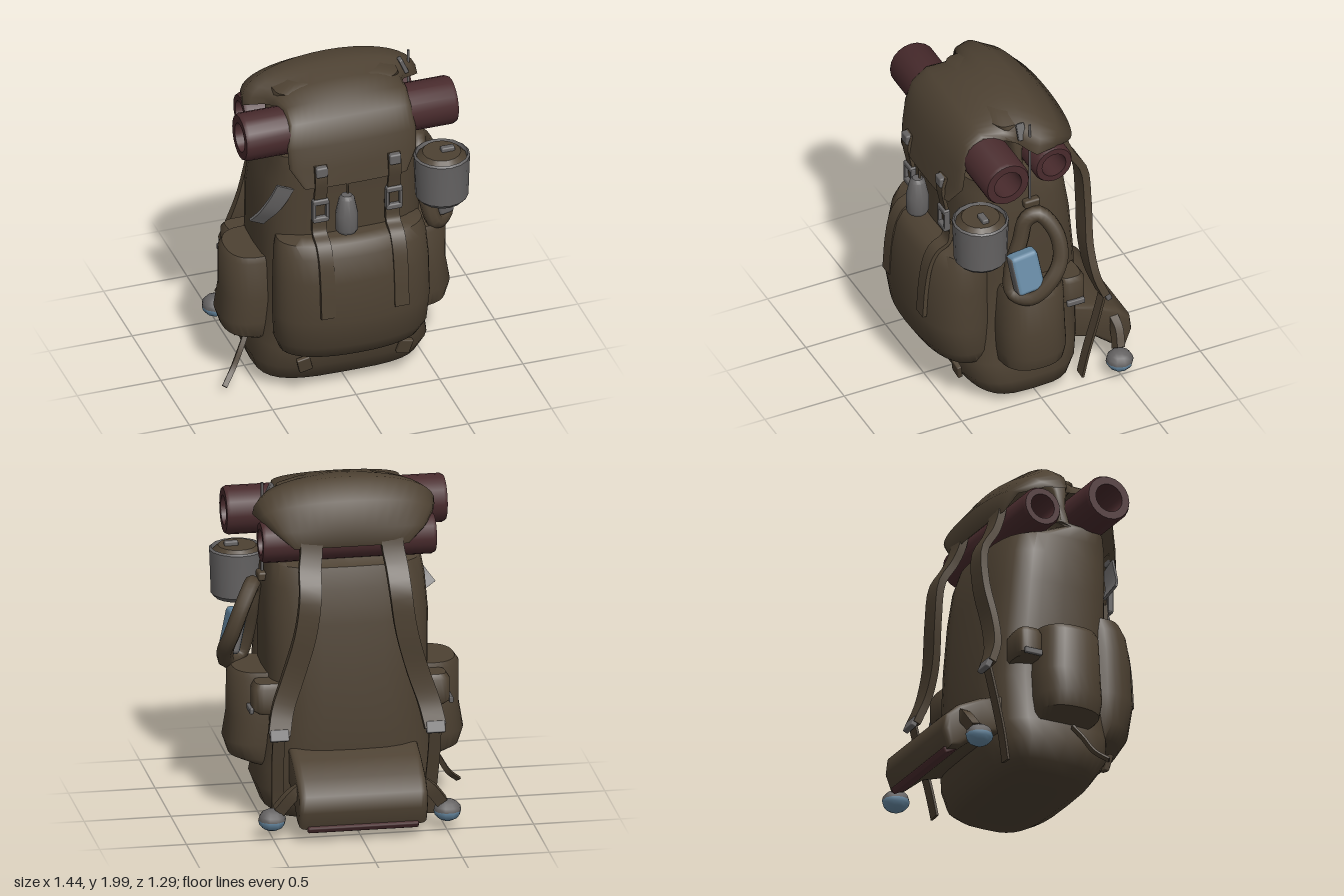
import * as THREE from 'three';
import { toCreasedNormals } from 'three/addons/utils/BufferGeometryUtils.js';
import { RoundedBoxGeometry } from 'three/addons/geometries/RoundedBoxGeometry.js';

const V = (x, y, z) => new THREE.Vector3(x, y, z);

function material(name, color, side = THREE.FrontSide) {
  const m = new THREE.MeshStandardMaterial({ color, side });
  m.name = name;
  return m;
}

// Skin a list of rings; closed rings get end caps
function loft(rings, closed = true, crease = 0.8) {
  const n = rings[0].length, pos = rings.flat().flatMap(p => [p.x, p.y, p.z]), idx = [];
  for (let i = 0; i < rings.length - 1; i++) {
    for (let j = 0; j < (closed ? n : n - 1); j++) {
      const a = i * n + j, b = i * n + (j + 1) % n;
      idx.push(a, b, a + n, b, b + n, a + n);
    }
  }
  if (closed) {
    [0, rings.length - 1].forEach((r, end) => {
      const c = rings[r].reduce((s, p) => s.add(p), V(0, 0, 0)).divideScalar(n);
      const k = pos.push(c.x, c.y, c.z) / 3 - 1;
      for (let j = 0; j < n; j++) {
        const a = r * n + j, b = r * n + (j + 1) % n;
        if (end) idx.push(a, b, k); else idx.push(b, a, k);
      }
    });
  }
  const g = new THREE.BufferGeometry();
  g.setAttribute('position', new THREE.Float32BufferAttribute(pos, 3));
  g.setIndex(idx);
  return toCreasedNormals(g, crease);
}

// Stuffed bag from rows of [y, x0, x1, z0, z1] with rounded-square sections
function bag(rows, power = 0.6, n = 32) {
  const soft = t => Math.sign(t) * Math.abs(t) ** power;
  return loft(rows.map(([y, x0, x1, z0, z1]) => Array.from({ length: n }, (_, j) => {
    const a = j / n * Math.PI * 2;
    return V((x0 + x1) / 2 + (x1 - x0) / 2 * soft(Math.cos(a)), y,
      (z0 + z1) / 2 - (z1 - z0) / 2 * soft(Math.sin(a)));
  })));
}

// Flat webbing swept along a path
function strap(points, width, thick, steps = 24) {
  const curve = new THREE.CatmullRomCurve3(points.map(p => V(...p)));
  const rings = [];
  for (let i = 0; i <= steps; i++) {
    const p = curve.getPoint(i / steps), t = curve.getTangent(i / steps);
    const s = V(1, 0, 0).addScaledVector(t, -t.x).normalize();
    const n = t.clone().cross(s);
    rings.push([[1, 1], [-1, 1], [-1, -1], [1, -1]].map(([a, b]) =>
      p.clone().addScaledVector(s, a * width / 2).addScaledVector(n, b * thick / 2)));
  }
  return loft(rings);
}

function rollGeometry(outer, inner, length) {
  const h = length / 2;
  const pts = [[inner, -h], [outer - 0.01, -h], [outer, -h + 0.02], [outer, h - 0.02], [outer - 0.01, h], [inner, h], [inner, -h]];
  const g = new THREE.LatheGeometry(pts.map(p => new THREE.Vector2(...p)), 20);
  return toCreasedNormals(g, 0.7).rotateZ(-Math.PI / 2);
}

export function createModel() {
  const canvas = material('olive canvas', 0x4d4132);
  const lidCanvas = material('olive lid canvas', 0x4d4132, THREE.DoubleSide);
  const red = material('maroon blanket', 0x492b2d);
  const grey = material('grey metal', 0x656363);
  const blue = material('blue metal', 0x688ba5);
  const model = new THREE.Group();
  const add = (name, geo, mat, x = 0, y = 0, z = 0, rx = 0, ry = 0, rz = 0) => {
    const m = new THREE.Mesh(geo, mat);
    m.name = name;
    m.position.set(x, y, z);
    m.rotation.set(rx, ry, rz);
    model.add(m);
    return m;
  };
  const box = (w, h, d) => new RoundedBoxGeometry(w, h, d, 1, Math.min(w, h, d) * 0.25);

  // Main sack, with a narrow neck between the two blanket rolls that widens under the lid
  add('mainSack', bag([
    [0.01, 0.28, 0.16, -0.14], [0.03, 0.42, 0.27, -0.22], [0.08, 0.48, 0.35, -0.28], [0.2, 0.525, 0.43, -0.31],
    [0.32, 0.5, 0.445, -0.33], [0.6, 0.47, 0.44, -0.335], [0.9, 0.47, 0.44, -0.32], [1.2, 0.475, 0.44, -0.29],
    [1.4, 0.46, 0.445, -0.26], [1.52, 0.44, 0.45, -0.22], [1.6, 0.43, 0.42, 0.025], [1.625, 0.42, 0.175, 0.04],
    [1.72, 0.41, 0.138, 0.05], [1.82, 0.4, 0.165, 0.02], [1.91, 0.37, 0.24, -0.02], [1.945, 0.28, 0.2, -0.02],
  ].map(([y, w, f, b]) => [y, -w, w, b, f])), canvas);

  // Front pocket
  add('frontPocket', bag([
    [0.29, 0.3, 0.47], [0.33, 0.41, 0.56], [0.42, 0.45, 0.615], [0.6, 0.462, 0.645], [0.85, 0.458, 0.63],
    [1.0, 0.448, 0.6], [1.07, 0.43, 0.56], [1.09, 0.37, 0.5],
  ].map(([y, w, f]) => [y, -w, w, 0.17, f]), 0.88, 40), canvas);

  // Lid: rows of [z, y, halfWidth, droop], edges drooping towards the inside
  const lidRows = [
    [-0.25, 1.65, 0.33, 0.03], [-0.285, 1.77, 0.43, 0.22], [-0.18, 1.9, 0.5, 0.42], [-0.04, 2.0, 0.525, 0.55],
    [0.06, 1.99, 0.49, 0.48], [0.11, 1.98, 0.42, 0.45], [0.2, 1.955, 0.39, 0.36], [0.33, 1.915, 0.37, 0.13],
    [0.415, 1.835, 0.365, 0.07], [0.468, 1.69, 0.385, 0.12], [0.495, 1.555, 0.38, 0.15], [0.51, 1.44, 0.31, 0.05],
  ];
  add('lid', loft(lidRows.map(([z, y, w, d]) => Array.from({ length: 21 }, (_, j) => {
    const a = (j / 10 - 1) * Math.PI / 2, k = d * (1 - Math.cos(a) ** 0.8);
    return V(-w * Math.sin(a), y + (1.6 - y) * k, z + (0.1 - z) * k);
  })).reverse(), false, 1.2), lidCanvas);
  add('lidBuckle', box(0.025, 0.1, 0.05), grey, 0.42, 1.89, 0.09, 0, 0, 0.4);

  // Hollow blanket rolls
  add('upperRoll', rollGeometry(0.14, 0.085, 1.27), red, 0.012, 1.73, 0.28);
  add('lowerRoll', rollGeometry(0.12, 0.075, 1.0), red, 0, 1.65, -0.08);

  // Parts mirrored on both sides
  for (const s of [-1, 1]) {
    const mx = rows => rows.map(([y, a, b, z0, z1]) => s > 0 ? [y, a, b, z0, z1] : [y, -b, -a, z0, z1]);
    add('sidePocket', bag(mx([
      [0.32, 0.34, 0.56, -0.1, 0.22], [0.36, 0.3, 0.66, -0.12, 0.26], [0.45, 0.28, 0.69, -0.13, 0.27],
      [0.6, 0.28, 0.665, -0.13, 0.27], [0.84, 0.28, 0.665, -0.12, 0.255], [0.875, 0.32, 0.64, -0.11, 0.24],
    ]), 0.82), canvas);
    add('smallPouch', bag(mx([
      [0.67, 0.38, 0.54, -0.25, -0.11], [0.69, 0.36, 0.57, -0.26, -0.1], [0.82, 0.36, 0.57, -0.26, -0.1],
      [0.85, 0.38, 0.55, -0.24, -0.11],
    ]), 0.6, 24), canvas);
    add('pouchBuckle', box(0.025, 0.035, 0.11), grey, s * 0.575, 0.69, -0.18);

    // Shoulder strap and the webbing below it
    add('shoulderStrap', strap([
      [s * 0.23, 1.75, -0.215], [s * 0.235, 1.63, -0.24], [s * 0.25, 1.53, -0.28], [s * 0.26, 1.4, -0.355],
      [s * 0.29, 1.18, -0.365], [s * 0.36, 0.92, -0.345], [s * 0.42, 0.74, -0.36], [s * 0.45, 0.6, -0.41],
    ], 0.125, 0.045), canvas);
    add('strapBuckle', box(0.11, 0.07, 0.035), grey, s * 0.45, 0.6, -0.42, 0.4);
    add('lowerWebbing', strap([
      [s * 0.45, 0.6, -0.41], [s * 0.45, 0.44, -0.37], [s * 0.44, 0.2, -0.31], [s * 0.43, 0.04, -0.28],
    ], 0.07, 0.015), canvas);

    // Hip belt ends
    add('hipBelt', strap([
      [s * 0.33, 0.32, -0.52], [s * 0.4, 0.27, -0.52], [s * 0.47, 0.18, -0.5],
    ], 0.07, 0.05), canvas);
    const end = new THREE.SphereGeometry(0.08, 10, 4, 0, Math.PI * 2, 0, Math.PI / 2);
    add('beltEnd', end, grey, s * 0.505, 0.125, -0.49).scale.y = 0.8;
    add('beltEndBase', end, blue, s * 0.505, 0.125, -0.49, Math.PI).scale.y = 0.8;

    // Front closing straps with two buckles, and a tab under the pocket
    const x = s * 0.22 + 0.01;
    add('lidStrap', strap([
      [x, 1.58, 0.487], [x, 1.5, 0.505], [x, 1.35, 0.48], [x, 1.2, 0.465],
    ], 0.075, 0.02), canvas);
    add('pocketStrap', strap([
      [x, 1.25, 0.455], [x, 1.12, 0.47], [x, 1.075, 0.54], [x, 1.0, 0.582], [x, 0.85, 0.61], [x, 0.64, 0.625],
    ], 0.085, 0.025), canvas);
    add('upperBuckle', box(0.07, 0.065, 0.04), grey, x, 1.55, 0.505);
    for (const y of [1.225, 1.34]) add('buckleBar', box(0.095, 0.035, 0.04), grey, x, y, 0.485);
    for (const e of [-1, 1]) add('buckleSide', box(0.02, 0.13, 0.035), grey, x + e * 0.04, 1.28, 0.485);
    add('bottomTab', box(0.08, 0.1, 0.03), canvas, s * 0.3 + 0.01, 0.24, 0.44, 0.2, 0, -s * 0.25);
  }

  // Hip pad, drawn in profile and extruded across the back
  const profile = [[0.27, 0.46], [0.4, 0.415], [0.53, 0.35], [0.605, 0.28], [0.615, 0.2], [0.585, 0.12], [0.54, 0.13], [0.42, 0.23], [0.27, 0.28]];
  const padGeo = new THREE.ExtrudeGeometry(new THREE.Shape(profile.map(p => new THREE.Vector2(...p))),
    { depth: 0.66, bevelSize: 0.025, bevelThickness: 0.04, bevelSegments: 3 });
  add('hipPad', toCreasedNormals(padGeo.rotateY(Math.PI / 2).translate(-0.33, 0, 0), 1), canvas);
  add('hipPadLining', box(0.64, 0.04, 0.09), red, 0, 0.105, -0.575, -0.5);

  // Hanging cooking pot with a canvas-coloured top
  const lathe = (pts, n) => toCreasedNormals(new THREE.LatheGeometry(pts.map(p => new THREE.Vector2(...p)), n), 0.6);
  add('pot', lathe([[0, 0], [0.13, 0], [0.152, 0.025], [0.16, 0.26], [0.162, 0.285], [0.15, 0.295], [0.142, 0.27], [0, 0.27]], 16),
    grey, 0.545, 1.17, 0.405);
  add('potTop', new THREE.CylinderGeometry(0.11, 0.145, 0.035, 16), canvas, 0.545, 1.458, 0.405);
  add('potKnob', box(0.08, 0.03, 0.04), grey, 0.58, 1.485, 0.405);

  // Front flask
  add('flask', lathe([[0, 0], [0.055, 0], [0.066, 0.02], [0.066, 0.12], [0.045, 0.22], [0.03, 0.24], [0, 0.245]], 12), grey, -0.06, 1.13, 0.51);
  add('flaskCord', new THREE.CylinderGeometry(0.007, 0.007, 0.1, 6), canvas, -0.05, 1.41, 0.5);

  // Coiled loop: its rear strand swings outward, with a bottle in front of it
  const loop = [
    [0.53, 1.36, 0.03], [0.6, 1.25, -0.045], [0.655, 1.1, -0.045], [0.68, 0.98, 0.03], [0.65, 0.88, 0.14],
    [0.57, 0.89, 0.21], [0.53, 1.02, 0.2], [0.515, 1.2, 0.14], [0.51, 1.33, 0.1],
  ].map(p => V(...p));
  add('coiledLoop', new THREE.TubeGeometry(new THREE.CatmullRomCurve3(loop, true), 48, 0.048, 8, true), canvas);
  add('bottle', box(0.1, 0.25, 0.17), [blue, blue, blue, blue, grey, grey], 0.615, 1.05, 0.155, 0.12, 0, 0.22);

  // Thin rod and its hook
  add('rod', new THREE.CylinderGeometry(0.008, 0.008, 0.54, 6), grey, 0.465, 1.69, 0.055);
  add('rodHook', box(0.05, 0.05, 0.1), canvas, 0.47, 1.41, 0.05);

  // Hanging cloth and loose strap on the other side
  add('hangingCloth', strap([[-0.39, 1.42, 0.4], [-0.43, 1.34, 0.39], [-0.48, 1.26, 0.37], [-0.54, 1.18, 0.33]], 0.11, 0.015), grey);
  add('looseStrap', strap([[-0.52, 0.3, 0.1], [-0.57, 0.22, 0.14], [-0.63, 0.12, 0.18], [-0.7, 0.05, 0.24]], 0.03, 0.015), canvas);
  return model;
}
